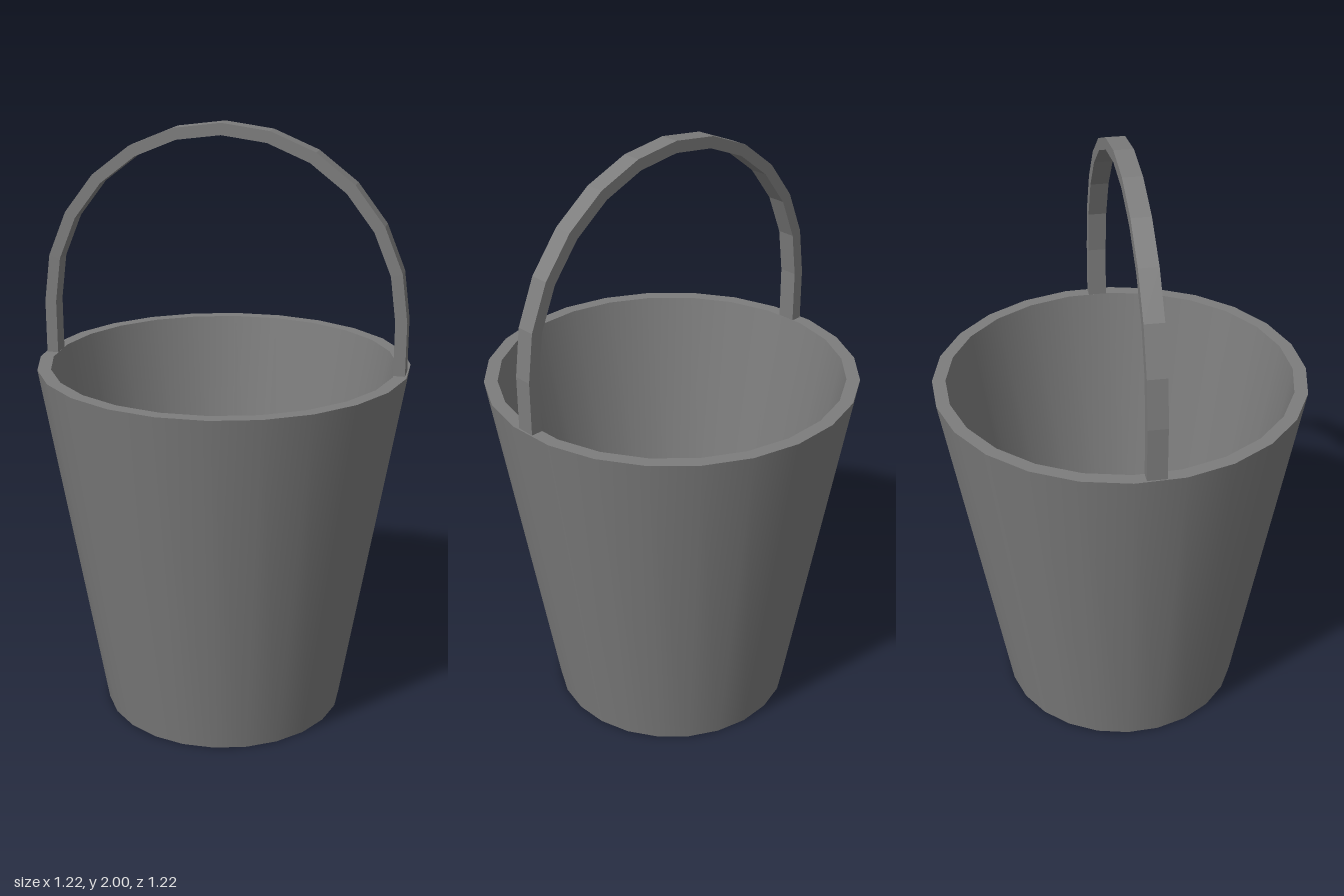
import * as THREE from 'three';

const SIDES = 24;
const TURN = THREE.MathUtils.degToRad(9.4);
const RIM_Y = 1.22;

export function createModel() {
  const bucket = new THREE.Group();
  bucket.name = 'bucket';
  const material = new THREE.MeshStandardMaterial({ color: 0x7c7c7c });

  const add = (name, geometry) => {
    const mesh = new THREE.Mesh(geometry, material);
    mesh.name = name;
    bucket.add(mesh);
    return mesh;
  };

  // Closed bucket skin, one ring per surface so the edges between them stay sharp
  const names = ['base', 'outerWall', 'rim', 'innerWall', 'floor'];
  const profile = [[0, 0], [0.41, 0], [0.614, RIM_Y], [0.57, RIM_Y], [0.367, 0.02], [0, 0.02]]
    .map(([r, y]) => new THREE.Vector2(r, y));
  names.forEach((name, i) =>
    add(name, new THREE.LatheGeometry([profile[i], profile[i + 1]], SIDES, TURN)));

  // Flat hoop handle: straight legs on the rim joined by a faceted half circle
  const outer = 0.604;
  const inner = 0.566;
  const arc = (radius) => Array.from({ length: 13 }, (_, i) => {
    const a = (i / 12) * Math.PI;
    return new THREE.Vector2(radius * Math.cos(a), 2 - outer + radius * Math.sin(a));
  });
  const leg = (x) => new THREE.Vector2(x, RIM_Y);
  const outline = new THREE.Shape([
    leg(outer), ...arc(outer), leg(-outer),
    leg(-inner), ...arc(inner).reverse(), leg(inner),
  ]);
  const handle = add('handle', new THREE.ExtrudeGeometry(outline, { depth: 0.062, bevelEnabled: false }));
  handle.position.z = -0.021;

  return bucket;
}
